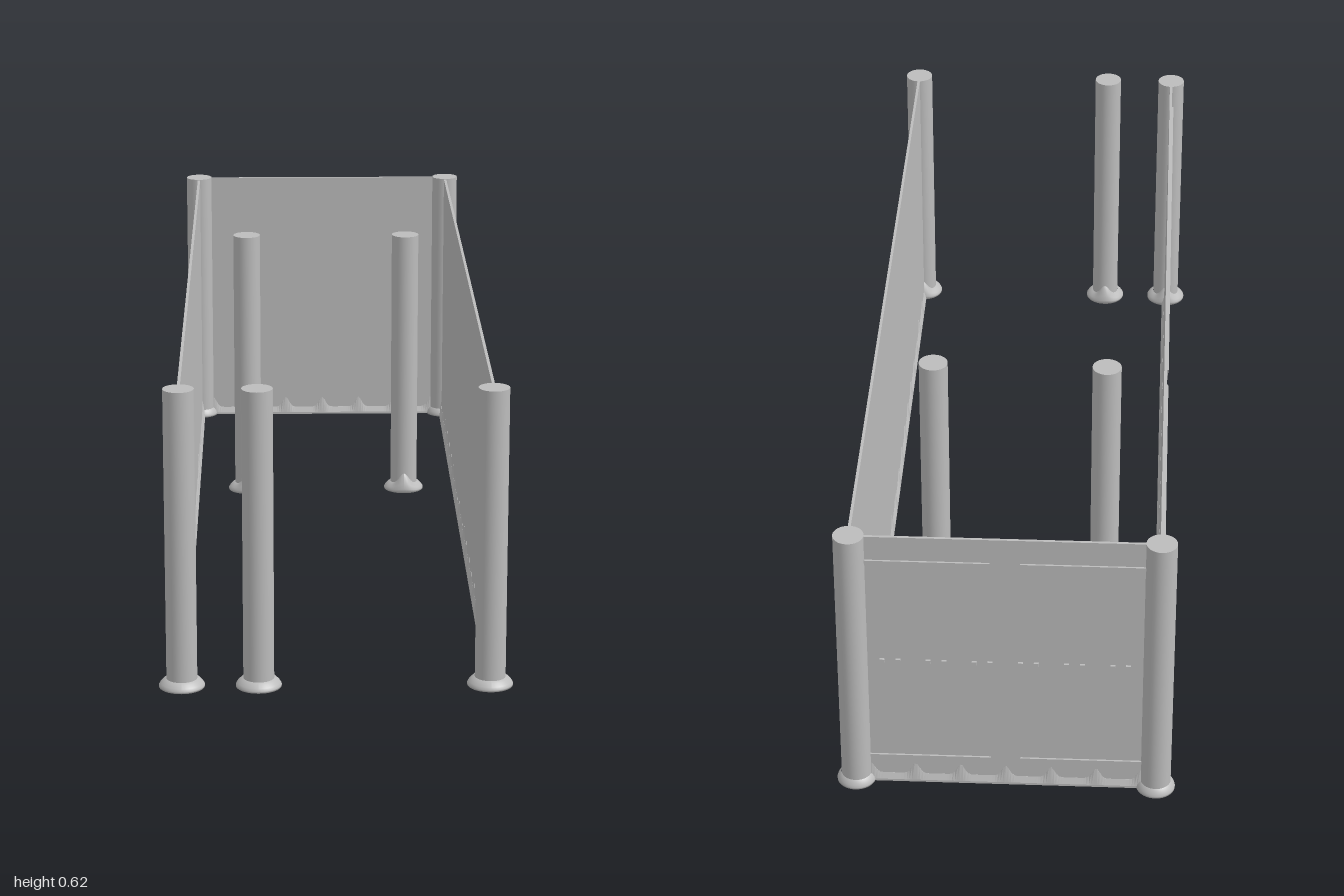
import * as THREE from 'three';

const H = 0.62;       // height of posts and walls
const STEP = 0.093;   // spacing of crests and pegs
const SKIRT = 0.018, CREST = 0.044;

const stone = new THREE.MeshStandardMaterial({ color: 0xbcbcbc });
stone.name = 'light grey';

function add(parent, name, geometry, x = 0, y = 0, z = 0) {
  const mesh = new THREE.Mesh(geometry, stone);
  mesh.name = name;
  mesh.position.set(x, y, z);
  parent.add(mesh);
  return mesh;
}

// Smooth crest that rises from the skirt line, d = distance from its middle
const crest = (d, w) => SKIRT + (CREST - SKIRT) * Math.exp(-((d / w) ** 2));

// Round post with a flared foot; the foot may rise to a crest on one side
function post(x, z, footRadius, crestAngle = null) {
  const group = new THREE.Group();
  group.name = 'post';
  group.position.set(x, 0, z);
  add(group, 'shaft', new THREE.CylinderGeometry(0.031, 0.031, H, 32), 0, H / 2, 0);

  const f = footRadius - 0.031;
  const profile = [[0, 0], [footRadius, 0], [footRadius, 0.004], [0.031 + f * 0.8, 0.009],
    [0.031 + f * 0.4, 0.015], [0.0312, SKIRT]].map(([r, y]) => new THREE.Vector2(r, y));
  const foot = new THREE.LatheGeometry(profile, 48);
  if (crestAngle !== null) {
    const p = foot.attributes.position;
    for (let i = 0; i < p.count; i++) {
      const a = Math.atan2(p.getX(i), p.getZ(i)) - crestAngle;
      const d = Math.atan2(Math.sin(a), Math.cos(a));
      const y = p.getY(i);
      if (y > 0.004) p.setY(i, y * crest(d, 0.5) / SKIRT);
    }
    foot.computeVertexNormals();
  }
  add(group, 'foot', foot);
  return group;
}

// Skirting with sloped faces on both sides and evenly spaced crests on top
function skirting(length) {
  const n = Math.round(length / STEP) * 16;
  const ring = 6, positions = [], index = [];
  for (let i = 0; i <= n; i++) {
    const x = (i / n - 0.5) * length;
    const h = crest(x - Math.round(x / STEP) * STEP, 0.011);
    const section = [[-0.009, 0], [-0.009, 0.005], [-0.0032, h], [0.0032, h], [0.009, 0.005], [0.009, 0]];
    for (const [z, y] of section) positions.push(x, y, z);
  }
  for (let i = 0; i < n; i++) {
    for (let j = 0; j < ring; j++) {
      const a = i * ring + j, b = i * ring + (j + 1) % ring;
      index.push(a, a + ring, b, b, a + ring, b + ring);
    }
  }
  const g = new THREE.BufferGeometry();
  g.setAttribute('position', new THREE.Float32BufferAttribute(positions, 3));
  g.setIndex(index);
  // Orient the faces outward and keep the edges crisp
  const flat = g.toNonIndexed();
  flat.computeVertexNormals();
  const p = flat.attributes.position, nrm = flat.attributes.normal;
  let facing = 0;
  for (let i = 0; i < p.count; i++) facing += nrm.getZ(i) * p.getZ(i);
  if (facing < 0) {
    for (let i = 0; i < index.length; i += 3) [index[i + 1], index[i + 2]] = [index[i + 2], index[i + 1]];
    g.setIndex(index);
    const flipped = g.toNonIndexed();
    flipped.computeVertexNormals();
    return flipped;
  }
  return flat;
}

// Thin wall along local x with its outside towards +z
function wall(name, length, gap) {
  const group = new THREE.Group();
  group.name = name;
  add(group, 'panel', new THREE.BoxGeometry(length, H - 0.002, 0.006), 0, H / 2, 0);
  add(group, 'skirting', skirting(length));

  // Upper and lower ribs, broken by a short gap
  const end = length / 2 - 0.02;
  for (const y of [0.065, 0.56]) {
    for (const [a, b] of [[-end, gap - 0.03], [gap + 0.03, end]]) {
      add(group, 'rib', new THREE.BoxGeometry(b - a, 0.007, 0.005), (a + b) / 2, y, 0.0045);
    }
  }
  // Middle row of paired pegs
  const count = Math.floor(end / STEP - 0.3);
  for (let i = -count - 1; i <= count; i++) {
    for (const s of [-0.016, 0.016]) {
      const x = (i + 0.5) * STEP + s;
      if (Math.abs(x) < end) add(group, 'peg', new THREE.BoxGeometry(0.01, 0.01, 0.006), x, 0.312, 0.005);
    }
  }
  return group;
}

export function createModel() {
  const model = new THREE.Group();
  model.name = 'hall';

  const back = wall('backWall', 0.62, 0);
  back.rotation.y = Math.PI;
  back.position.z = -0.96;
  model.add(back);

  for (const s of [-1, 1]) {
    const side = wall(s > 0 ? 'leftWall' : 'rightWall', 1.91, s * 0.28);
    side.rotation.y = s * Math.PI / 2;
    side.position.set(s * 0.309, 0, -0.003);
    model.add(side);

    model.add(post(s * 0.309, -0.96, 0.04));           // back corners
    model.add(post(s * 0.309, 0.954, 0.046, Math.PI)); // front corners
    model.add(post(s * 0.185, -0.333, 0.046, 0));      // inner pair
  }
  model.add(post(-0.155, 0.954, 0.046, Math.PI));      // doorway post
  return model;
}
